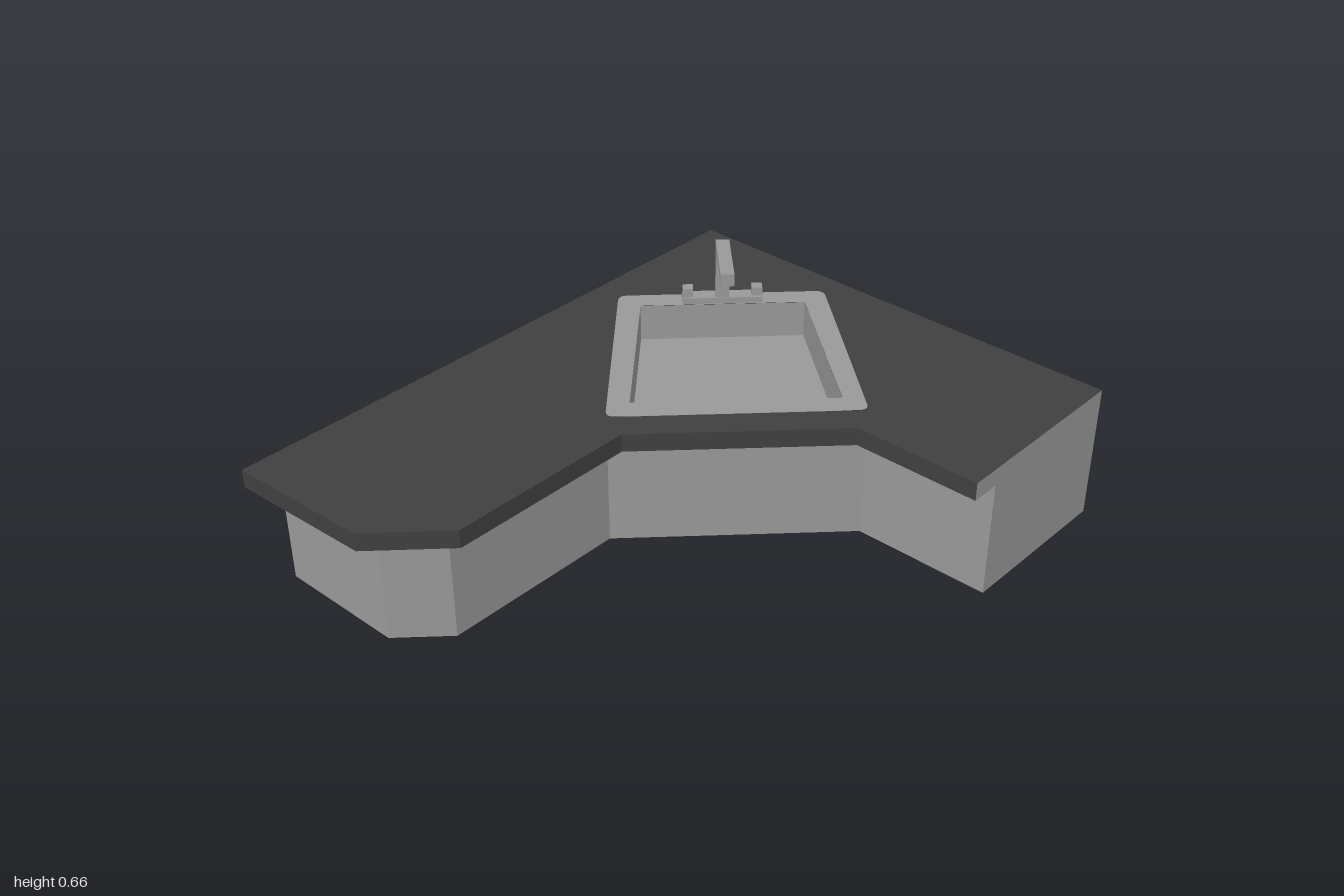
import * as THREE from 'three';

const TOP = 0.45, LIP = 0.39, BOWL = 0.325;

// Plan outlines as [x, z]
const counterFront = [[-0.79, 1], [-0.32, 0.98], [-0.12, 0.78], [-0.12, 0.15], [0.37, -0.34], [0.79, -0.34]];
const cabinetFront = [[-0.79, 0.88], [-0.36, 0.88], [-0.22, 0.74], [-0.22, 0.11], [0.33, -0.44], [0.79, -0.44]];
const rimCorners = [[-0.22, -0.92], [0.335, -0.44], [-0.22, 0.115], [-0.7, -0.44]];
const bowlCorners = [[-0.22, -0.82], [0.235, -0.44], [-0.22, 0.01], [-0.6, -0.44]];

// Rounds each corner of a closed outline
function rounded(corners, r) {
  const out = [];
  corners.forEach((c, i) => {
    const p = new THREE.Vector2(...c);
    const toward = (q) => new THREE.Vector2(...q).sub(p).setLength(r).add(p);
    const a = toward(corners[(i + corners.length - 1) % corners.length]);
    const b = toward(corners[(i + 1) % corners.length]);
    const curve = new THREE.QuadraticBezierCurve(a, p, b);
    curve.getPoints(4).forEach((v) => out.push([v.x, v.y]));
  });
  return out;
}

// Flat horizontal sheet at height y, with an optional hole
function sheet(outline, y, hole) {
  const toPlane = (pts) => pts.map(([x, z]) => new THREE.Vector2(x, -z));
  const shape = new THREE.Shape(toPlane(outline));
  if (hole) shape.holes.push(new THREE.Path(toPlane(hole)));
  return new THREE.ShapeGeometry(shape).rotateX(-Math.PI / 2).translate(0, y, 0);
}

// Upright wall following a plan path, outside on the right-hand side of travel
function wall(path, y0, y1) {
  const pos = [];
  for (let i = 0; i < path.length - 1; i++) {
    const [ax, az] = path[i], [bx, bz] = path[i + 1];
    pos.push(ax, y0, az, bx, y0, bz, bx, y1, bz, ax, y0, az, bx, y1, bz, ax, y1, az);
  }
  const g = new THREE.BufferGeometry();
  g.setAttribute('position', new THREE.Float32BufferAttribute(pos, 3));
  g.computeVertexNormals();
  return g;
}

export function createModel() {
  const model = new THREE.Group();
  model.name = 'cornerSinkUnit';
  const dark = new THREE.MeshStandardMaterial({ color: 0x404040, side: THREE.DoubleSide });
  dark.name = 'dark worktop';
  const grey = new THREE.MeshStandardMaterial({ color: 0x999999, side: THREE.DoubleSide });
  grey.name = 'grey';

  const add = (parent, name, geometry, material) => {
    const mesh = new THREE.Mesh(geometry, material);
    mesh.name = name;
    parent.add(mesh);
    return mesh;
  };

  // Worktop: top sheet with sink cut-out, front lip and overhang underside
  const rim = rounded(rimCorners, 0.03);
  add(model, 'worktop', sheet([...counterFront, [0.79, -1], [-0.79, -1]], TOP, rim), dark);
  add(model, 'worktopLip', wall(counterFront, LIP, TOP), dark);
  add(model, 'overhangUnderside', sheet([...counterFront, ...[...cabinetFront].reverse()], LIP).rotateX(0), dark);

  // Cabinet fronts, open at the back and underneath
  add(model, 'cabinetFront', wall(cabinetFront, 0, LIP), grey);

  // End panel, notched below the overhang
  const end = new THREE.Shape([[0.34, TOP], [0.34, LIP], [0.44, LIP], [0.44, 0], [1, 0], [1, TOP]]
    .map((p) => new THREE.Vector2(...p)));
  add(model, 'endPanel', new THREE.ShapeGeometry(end).rotateY(Math.PI / 2).translate(0.79, 0, 0), grey);

  // Sink: flat rim, straight bowl walls and floor
  const sink = new THREE.Group();
  sink.name = 'sink';
  model.add(sink);
  add(sink, 'sinkRim', sheet(rim, TOP + 0.001, bowlCorners), grey);
  add(sink, 'bowlWalls', wall([...bowlCorners, bowlCorners[0]], BOWL, TOP), grey);
  add(sink, 'bowlFloor', sheet(bowlCorners, BOWL), grey);

  // Tap, turned to point diagonally over the bowl
  const tap = new THREE.Group();
  tap.name = 'tap';
  tap.position.set(-0.43, TOP, -0.65);
  tap.rotation.y = -Math.PI / 4;
  model.add(tap);
  const box = (name, w, h, d, x, y, z) =>
    add(tap, name, new THREE.BoxGeometry(w, h, d).translate(x, y + h / 2, z), grey);
  box('tapBase', 0.05, 0.022, 0.262, 0, 0, 0);
  for (const s of [-1, 1]) box('tapHandle', 0.034, 0.03, 0.034, 0, 0.022, s * 0.113);
  box('tapColumn', 0.044, 0.16, 0.044, 0, 0.022, 0);
  box('tapSpout', 0.237, 0.03, 0.044, 0.0965, 0.18, 0);
  box('tapNozzle', 0.022, 0.012, 0.044, 0.204, 0.168, 0);

  return model;
}
